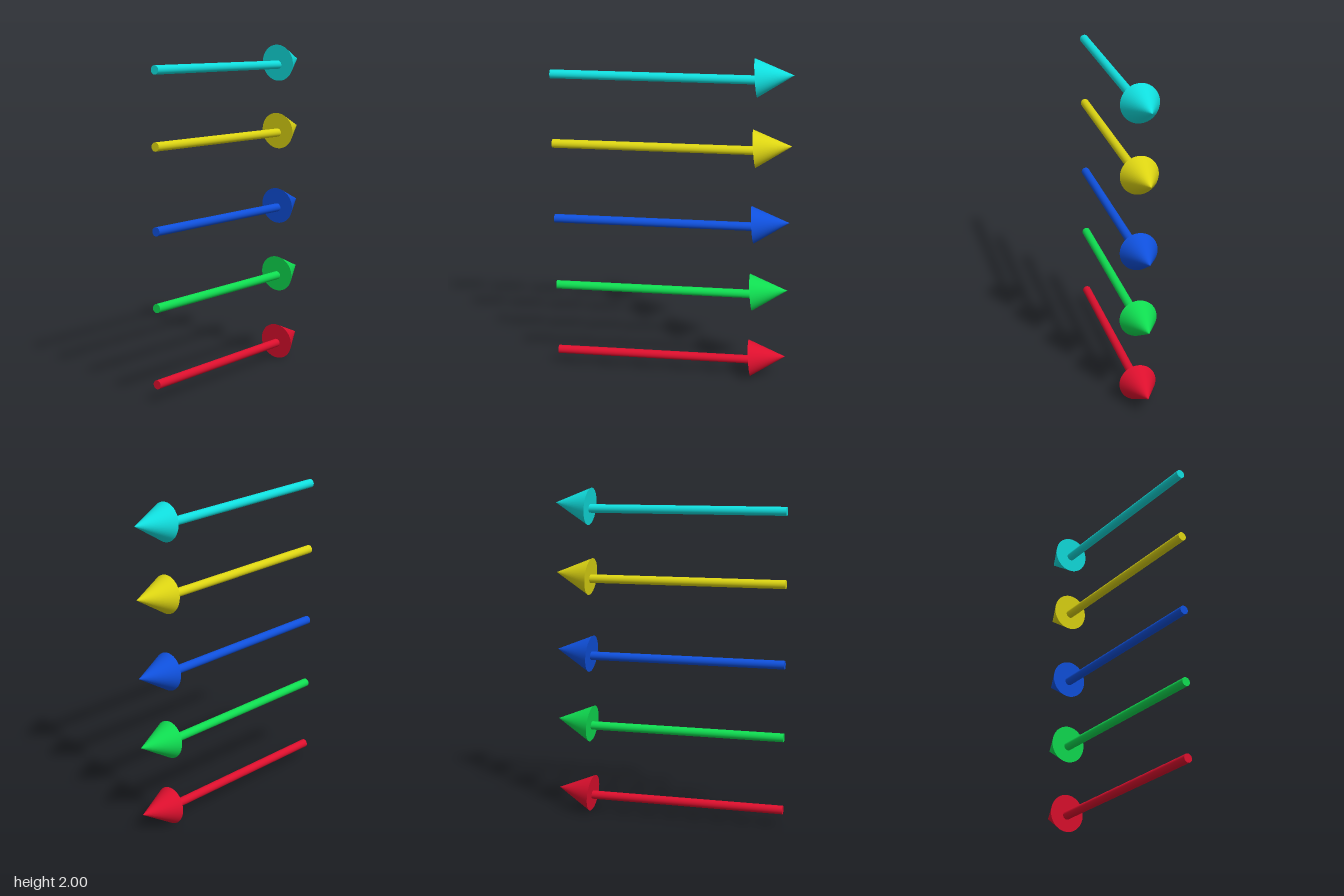
import * as THREE from 'three';

const YAW = THREE.MathUtils.degToRad(22);    // swing of every arrow about y
const PITCH = THREE.MathUtils.degToRad(5.5); // slight upward tilt of the heads
const SHAFT_R = 0.026, HEAD_R = 0.1125, HEAD_L = 0.221;

// Aim a mesh built along +y at a horizontal heading with a given rise
function aim(mesh, rise) {
  const dir = new THREE.Vector3(
    Math.cos(rise) * Math.cos(YAW), Math.sin(rise), -Math.cos(rise) * Math.sin(YAW));
  mesh.quaternion.setFromUnitVectors(new THREE.Vector3(0, 1, 0), dir);
}

function makeArrow(name, color) {
  const arrow = new THREE.Group();
  arrow.name = name;
  const material = new THREE.MeshStandardMaterial({ color });

  // Level round shaft, running from the tail to the head's base
  const tail = new THREE.Vector3(-0.656, 0, 0.264);
  const neck = new THREE.Vector3(0.461, 0, -0.187);
  const shaft = new THREE.Mesh(
    new THREE.CylinderGeometry(SHAFT_R, SHAFT_R, tail.distanceTo(neck), 32), material);
  shaft.name = 'shaft';
  shaft.position.lerpVectors(tail, neck, 0.5);
  aim(shaft, 0);

  // Closed conical head, its base centred a little above the shaft's axis
  const cone = new THREE.ConeGeometry(HEAD_R, HEAD_L, 48);
  cone.translate(0, HEAD_L / 2, 0);
  const head = new THREE.Mesh(cone, material);
  head.name = 'arrowHead';
  head.position.set(0.459, 0.012, -0.186);
  aim(head, PITCH);

  arrow.add(shaft, head);
  return arrow;
}

export function createModel() {
  const model = new THREE.Group();
  model.name = 'arrowStack';

  // Five arrows stacked from bottom to top: name, colour, shaft height
  const arrows = [
    ['redArrow', 0xdc0f2d, 0.1],
    ['greenArrow', 0x0fdc50, 0.542],
    ['blueArrow', 0x0f50dc, 0.979],
    ['yellowArrow', 0xdcd412, 1.453],
    ['cyanArrow', 0x10dede, 1.876],
  ];
  for (const [name, color, y] of arrows) {
    const arrow = makeArrow(name, color);
    arrow.position.y = y;
    model.add(arrow);
  }
  return model;
}
